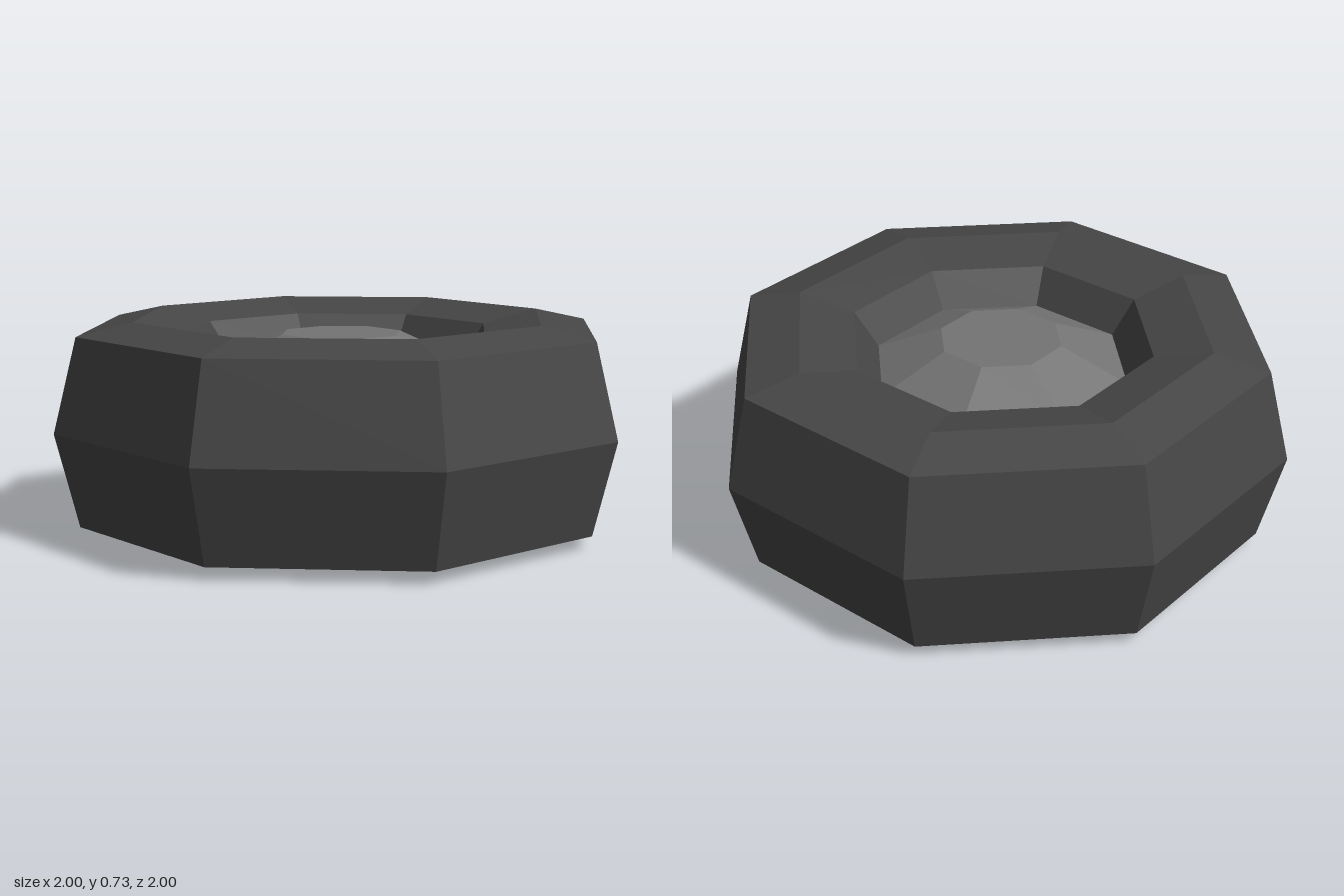
import * as THREE from 'three';

const SIDES = 8;
const MID = 0.3625; // height of the mirror plane

// Faceted ring from an upper profile [radius, height above the mid plane], mirrored below it
function mirroredLathe(name, upper, material) {
  const top = upper.map(([r, h]) => new THREE.Vector2(r, MID + h));
  const bottom = upper.filter(([, h]) => h > 0).reverse().map(([r, h]) => new THREE.Vector2(r, MID - h));
  const geometry = new THREE.LatheGeometry([...bottom, ...top], SIDES).toNonIndexed();
  geometry.computeVertexNormals(); // one normal per facet
  const mesh = new THREE.Mesh(geometry, material);
  mesh.name = name;
  return mesh;
}

export function createModel() {
  const rubber = new THREE.MeshStandardMaterial({ color: 0x464646, flatShading: true });
  rubber.name = 'dark rubber';
  const metal = new THREE.MeshStandardMaterial({ color: 0x747474, flatShading: true });
  metal.name = 'grey metal';

  const wheel = new THREE.Group();
  wheel.name = 'wheel';

  // Tyre: tread, shoulder, sidewall crest, inner lip and the wall down to the hub
  wheel.add(mirroredLathe('tyre', [
    [1, 0], [0.92, 0.32], [0.73, 0.3625], [0.53, 0.316], [0.445, 0.197],
  ], rubber));

  // Hub: shallow faceted dome with a flat cap on both sides
  wheel.add(mirroredLathe('hub', [
    [0.445, 0.197], [0.213, 0.303], [0, 0.303],
  ], metal));

  return wheel;
}
